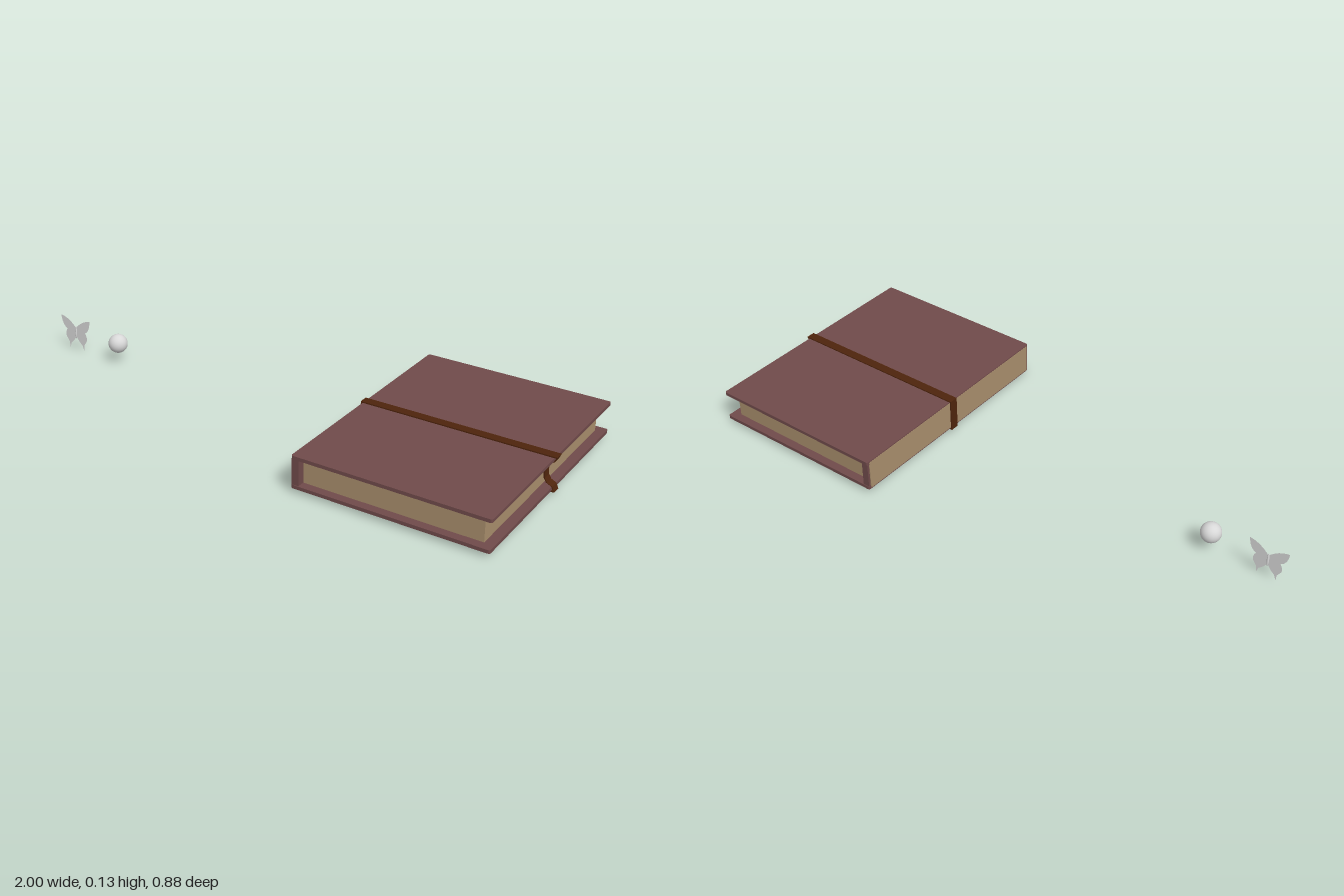
import * as THREE from 'three';

const mat = (name, color, side = THREE.FrontSide) => {
  const m = new THREE.MeshStandardMaterial({ color, side });
  m.name = name;
  return m;
};

export function createModel() {
  const model = new THREE.Group();
  const leather = mat('cover leather', 0x704a4a);
  const paper = mat('paper', 0xa88e6c);
  const strapBrown = mat('strap brown', 0x4e240c);
  const silver = mat('silver', 0xd8d8d8, THREE.DoubleSide);

  const add = (name, geometry, material, parent = model) => {
    const mesh = new THREE.Mesh(geometry, material);
    mesh.name = name;
    parent.add(mesh);
    return mesh;
  };
  // Box given by its minimum and maximum corners
  const box = (name, [x0, y0, z0], [x1, y1, z1], material, parent) => {
    const g = new THREE.BoxGeometry(x1 - x0, y1 - y0, z1 - z0);
    g.translate((x0 + x1) / 2, (y0 + y1) / 2, (z0 + z1) / 2);
    return add(name, g, material, parent);
  };

  // Book: two covers, a spine and the inset page block
  const book = new THREE.Group();
  book.name = 'book';
  model.add(book);

  // Cover board with small rounded corners
  const cover = (name, y) => {
    const s = new THREE.Shape();
    const x0 = 0.32, x1 = 0.99, z = 0.44, r = 0.008;
    s.moveTo(x0 + r, -z);
    s.lineTo(x1 - r, -z);
    s.quadraticCurveTo(x1, -z, x1, -z + r);
    s.lineTo(x1, z - r);
    s.quadraticCurveTo(x1, z, x1 - r, z);
    s.lineTo(x0 + r, z);
    s.quadraticCurveTo(x0, z, x0, z - r);
    s.lineTo(x0, -z + r);
    s.quadraticCurveTo(x0, -z, x0 + r, -z);
    const g = new THREE.ExtrudeGeometry(s, { depth: 0.012, bevelEnabled: false, curveSegments: 4 });
    g.rotateX(-Math.PI / 2);
    g.translate(0, y, 0);
    add(name, g, leather, book);
  };
  cover('bottomCover', 0.015);
  cover('topCover', 0.116);
  box('spine', [0.322, 0.027, -0.438], [0.346, 0.116, 0.438], leather, book);
  box('spinePanel', [0.319, 0.019, -0.43], [0.323, 0.124, 0.43], paper, book);
  box('pages', [0.346, 0.027, -0.41], [0.957, 0.116, 0.41], paper, book);

  // Strap: a closed band that dips in between the cover edges
  const dip = [[0.992, 0.029], [0.974, 0.038], [0.966, 0.052], [0.964, 0.071],
    [0.966, 0.09], [0.974, 0.105], [0.992, 0.114]];
  const outline = (t) => [
    [0.313 + t, 0.011 + t], [1 - t, 0.011 + t],
    ...dip.map(([x, y]) => [x - t, y]),
    [1 - t, 0.132 - t], [0.313 + t, 0.132 - t],
  ].map(([x, y]) => new THREE.Vector2(x, y));
  const band = new THREE.Shape(outline(0));
  band.holes.push(new THREE.Path(outline(0.004).reverse()));
  const strapGeometry = new THREE.ExtrudeGeometry(band, { depth: 0.032, bevelEnabled: false });
  strapGeometry.translate(0, 0, -0.016);
  add('strap', strapGeometry, strapBrown);

  // Bead
  const bead = add('bead', new THREE.SphereGeometry(0.035, 32, 20), silver);
  bead.position.set(-0.728, 0.073, 0);

  // Butterfly charm: mirrored flat wings around a slim body
  const butterfly = new THREE.Group();
  butterfly.name = 'butterfly';
  butterfly.position.x = -0.931;
  model.add(butterfly);
  for (const side of [-1, 1]) {
    const wing = new THREE.Shape();
    wing.moveTo(0, 0.085);
    wing.quadraticCurveTo(0.03 * side, 0.12, 0.069 * side, 0.125);
    wing.quadraticCurveTo(0.066 * side, 0.085, 0.043 * side, 0.073);
    wing.quadraticCurveTo(0.058 * side, 0.05, 0.044 * side, 0.034);
    wing.lineTo(0.036 * side, 0.022);
    wing.lineTo(0.034 * side, 0);
    wing.lineTo(0.027 * side, 0.02);
    wing.quadraticCurveTo(0.012 * side, 0.03, 0, 0.052);
    add(side < 0 ? 'rightWing' : 'leftWing', new THREE.ShapeGeometry(wing, 8), silver, butterfly);
  }
  const body = add('body', new THREE.SphereGeometry(1, 12, 10), silver, butterfly);
  body.scale.set(0.004, 0.026, 0.004);
  body.position.y = 0.068;

  return model;
}
